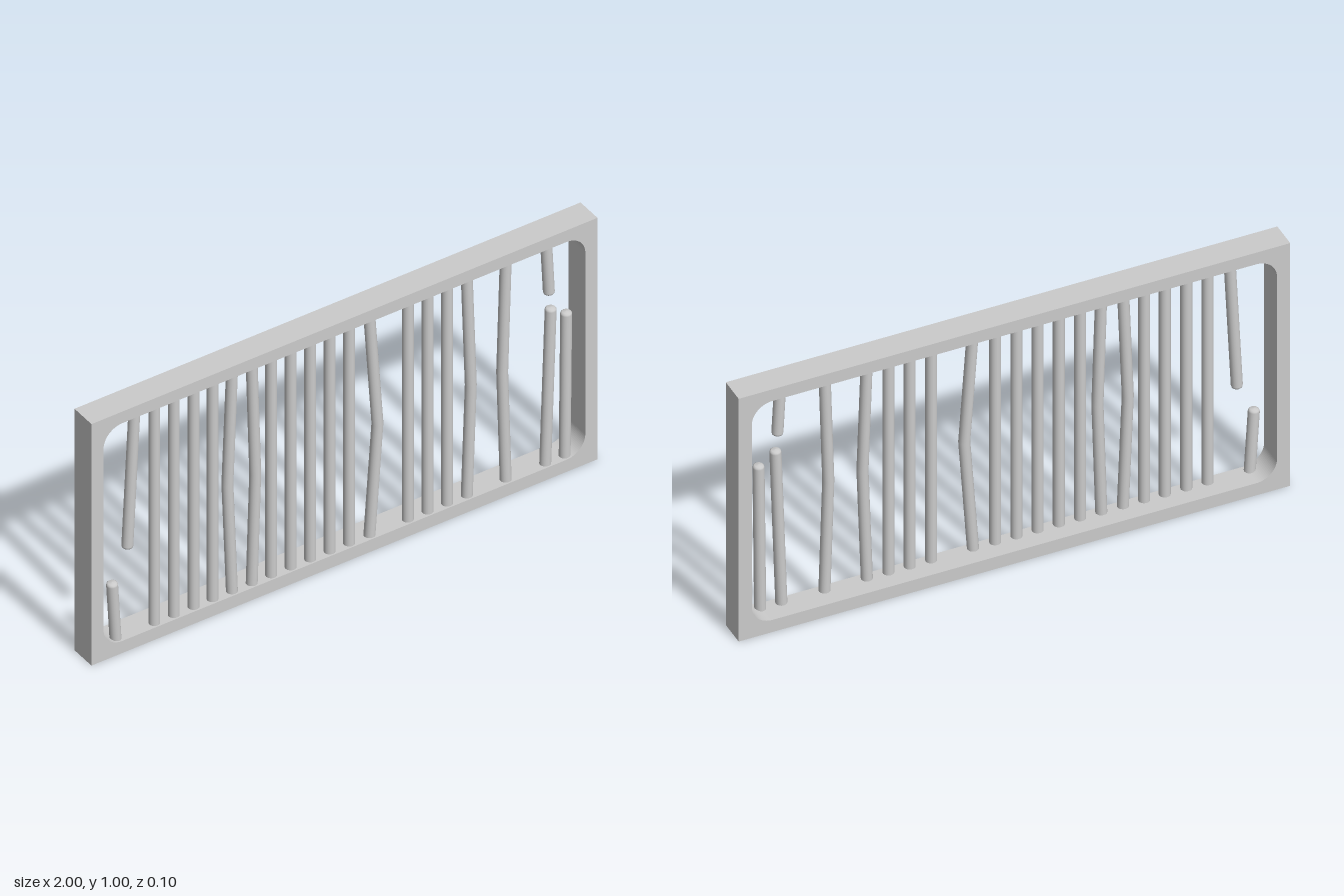
import * as THREE from 'three';

const RADIUS = 0.02, BAR_Z = 0.025, LOW = 0.045, HIGH = 0.955;
const material = new THREE.MeshStandardMaterial({ color: 0xcccccc });

function addMesh(group, name, geometry) {
  const mesh = new THREE.Mesh(geometry, material);
  mesh.name = name;
  group.add(mesh);
  return mesh;
}

// Rectangular frame with a rounded opening
function frameGeometry() {
  const shape = new THREE.Shape();
  shape.moveTo(-1, 0).lineTo(1, 0).lineTo(1, 1).lineTo(-1, 1).closePath();
  const x = 0.952, b = 0.05, t = 0.952, r = 0.075;
  const hole = new THREE.Path();
  hole.absarc(x - r, b + r, r, -Math.PI / 2, 0);
  hole.absarc(x - r, t - r, r, 0, Math.PI / 2);
  hole.absarc(-x + r, t - r, r, Math.PI / 2, Math.PI);
  hole.absarc(-x + r, b + r, r, Math.PI, Math.PI * 1.5);
  hole.closePath();
  shape.holes.push(hole);
  const geometry = new THREE.ExtrudeGeometry(shape, { depth: 0.1, bevelEnabled: false, curveSegments: 10 });
  return geometry.translate(0, 0, -0.05);
}

// Full-height bar, pushed sideways by `bend` at mid height
function barGeometry(bend) {
  const h = HIGH - LOW;
  const geometry = new THREE.CylinderGeometry(RADIUS, RADIUS, h, 16, bend ? 2 : 1);
  const p = geometry.attributes.position;
  for (let i = 0; i < p.count; i++) {
    p.setX(i, p.getX(i) + bend * (1 - Math.abs(p.getY(i)) / (h / 2)));
  }
  geometry.computeBoundingSphere();
  return geometry;
}

// Snapped bar: flat at the root, softly rounded at the broken tip
function brokenGeometry(length) {
  const profile = [[0, 0], [RADIUS, 0], [RADIUS, 0], [RADIUS, length - 0.012],
    [0.0185, length - 0.006], [0.014, length - 0.002], [0, length]];
  return new THREE.LatheGeometry(profile.map(([x, y]) => new THREE.Vector2(x, y)), 16);
}

export function createModel() {
  const model = new THREE.Group();
  model.name = 'barredWindow';
  addMesh(model, 'frame', frameGeometry());

  // Intact bars: [x at the ends, sideways bend at the middle]
  const bars = [
    [-0.735, 0], [-0.658, 0], [-0.58, 0], [-0.505, 0], [-0.428, -0.018], [-0.35, 0.014],
    [-0.273, 0], [-0.196, 0], [-0.119, 0], [-0.042, 0], [0.035, 0], [0.115, 0.032],
    [0.267, 0], [0.345, 0], [0.422, 0], [0.5, 0.016], [0.654, -0.014],
  ];
  for (const [x, bend] of bars) {
    addMesh(model, bend ? 'bentBar' : 'straightBar', barGeometry(bend))
      .position.set(x, (LOW + HIGH) / 2, BAR_Z);
  }

  // Broken bars: root x, root y, tip x, tip y, tip z
  const broken = [
    [-0.814, HIGH, -0.842, 0.405, BAR_Z],
    [-0.888, LOW, -0.907, 0.295, 0.032],
    [0.814, HIGH, 0.825, 0.745, BAR_Z],
    [0.81, LOW, 0.832, 0.688, BAR_Z],
    [0.887, LOW, 0.893, 0.645, BAR_Z],
  ];
  const up = new THREE.Vector3(0, 1, 0);
  for (const [x0, y0, x1, y1, z1] of broken) {
    const root = new THREE.Vector3(x0, y0, BAR_Z);
    const axis = new THREE.Vector3(x1, y1, z1).sub(root);
    const bar = addMesh(model, 'brokenBar', brokenGeometry(axis.length()));
    bar.position.copy(root);
    bar.quaternion.setFromUnitVectors(up, axis.normalize());
  }
  return model;
}
